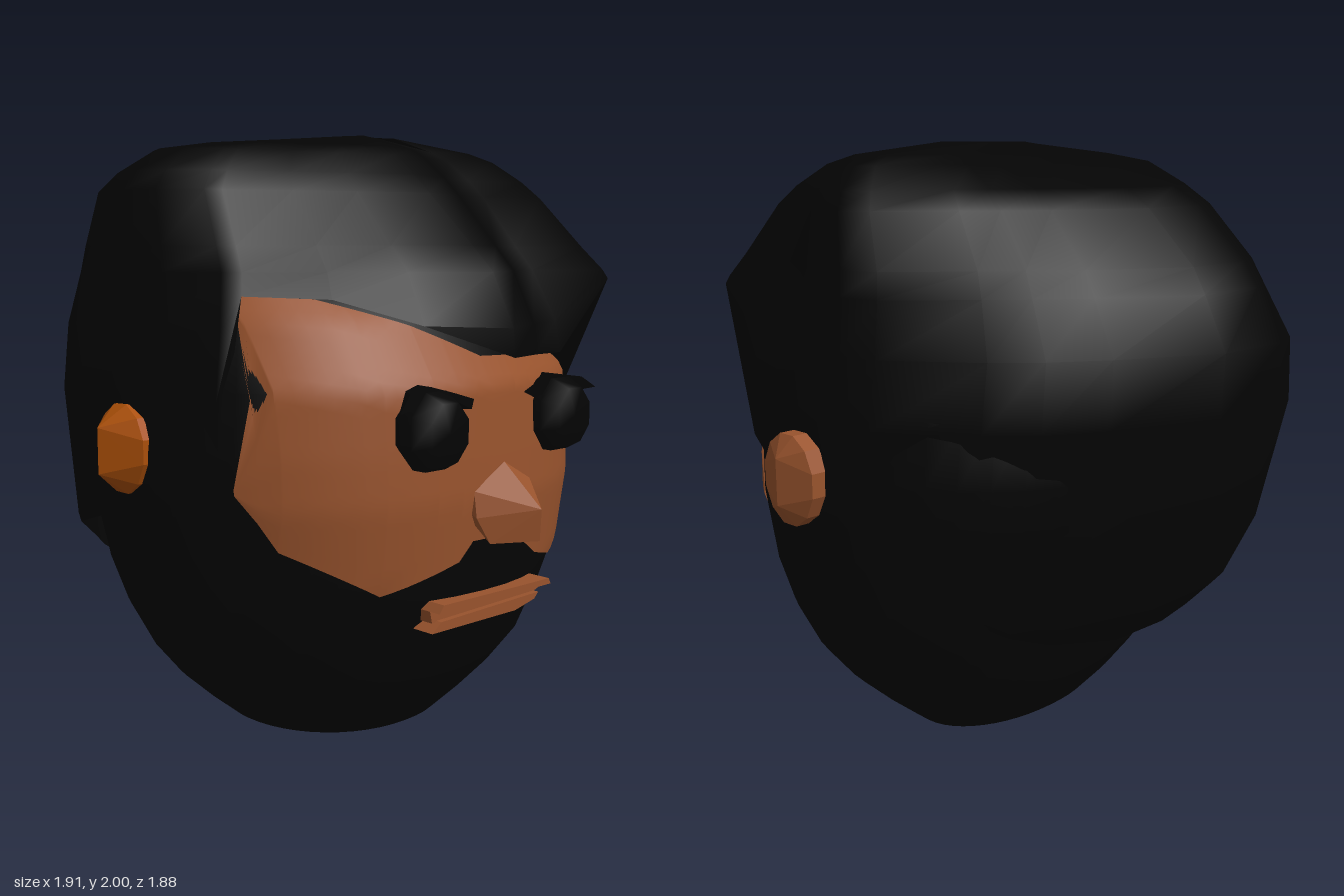
import * as THREE from 'three';
import { ConvexGeometry } from 'three/addons/geometries/ConvexGeometry.js';

const material = (name, color, extra = {}) => {
  const m = new THREE.MeshStandardMaterial({ color, ...extra });
  m.name = name;
  return m;
};

// Linear lookup in rows of [key, value, value...]
function lookup(table, key) {
  if (key <= table[0][0]) return table[0].slice(1);
  for (let i = 1; i < table.length; i++) {
    const a = table[i - 1], b = table[i];
    if (key <= b[0]) {
      const t = (key - a[0]) / (b[0] - a[0]);
      return a.slice(1).map((v, k) => v + (b[k + 1] - v) * t);
    }
  }
  return table[table.length - 1].slice(1);
}

// Surface through rows of points, rows rising, points running left to right
function grid(rows, closed) {
  const n = rows[0].length, index = [];
  for (let j = 0; j < rows.length - 1; j++) {
    for (let i = 0; i < (closed ? n : n - 1); i++) {
      const k = (i + 1) % n;
      const a = j * n + i, b = j * n + k, c = a + n, d = b + n;
      index.push(a, b, d, a, d, c);
    }
  }
  const g = new THREE.BufferGeometry();
  g.setAttribute('position', new THREE.Float32BufferAttribute(rows.flat(2), 3));
  g.setIndex(index);
  g.computeVertexNormals();
  return g;
}

// Row collapsed to its middle, to close a loft
const collapse = (row) => {
  const c = [0, 1, 2].map((k) => row.reduce((s, p) => s + p[k], 0) / row.length);
  return row.map(() => c);
};

// Head: height, half width, front depth, back depth; slightly squared ovals
const HEAD = [
  [0, 0.39, 0.39, 0.23], [0.09, 0.5, 0.48, 0.31], [0.19, 0.61, 0.57, 0.38],
  [0.3, 0.7, 0.65, 0.45], [0.45, 0.78, 0.7, 0.53], [0.6, 0.825, 0.75, 0.62],
  [0.85, 0.865, 0.775, 0.72], [1, 0.865, 0.77, 0.75], [1.2, 0.84, 0.76, 0.75],
  [1.4, 0.775, 0.64, 0.66], [1.5, 0.73, 0.52, 0.55], [1.65, 0.42, 0.34, 0.34],
];
const SQUARE = 2.15;

function headGeometry() {
  const bend = (v) => Math.sign(v) * Math.abs(v) ** (2 / SQUARE);
  const rows = HEAD.map(([y, w, f, b]) => Array.from({ length: 48 }, (_, i) => {
    const a = (i / 48) * Math.PI * 2, c = bend(Math.cos(a));
    return [w * bend(Math.sin(a)), y, c * (c > 0 ? f : b)];
  }));
  return grid([collapse(rows[0]), ...rows, collapse(rows[rows.length - 1])], true);
}

// Face: upper hairline and lower beard line, as x and y
const HAIRLINE = [[-0.76, 0.92], [-0.67, 1.48], [-0.48, 1.47], [-0.25, 1.39], [-0.02, 1.29],
  [0.18, 1.285], [0.44, 1.27], [0.62, 1.21], [0.78, 0.88]];
const BEARDLINE = [[-0.76, 0.9], [-0.67, 0.73], [-0.41, 0.58], [-0.15, 0.66], [-0.1, 0.72],
  [0.09, 0.72], [0.25, 0.62], [0.41, 0.58], [0.6, 0.68], [0.78, 0.87]];

function faceGeometry() {
  const xs = [...HAIRLINE, ...BEARDLINE].map((p) => p[0]);
  for (let i = 1; i < 36; i++) xs.push(-0.76 + (1.54 * i) / 36);
  const columns = [...new Set(xs)].sort((a, b) => a - b);
  const rows = [];
  for (let j = 0; j <= 20; j++) {
    rows.push(columns.map((x) => {
      const [lo] = lookup(BEARDLINE, x), [hi] = lookup(HAIRLINE, x);
      const y = lo + ((hi - lo) * j) / 20;
      const [w, f] = lookup(HEAD, y);
      const depth = Math.max(0, 1 - Math.abs(x / w) ** SQUARE) ** (1 / SQUARE);
      return [x, y, f * depth + 0.012];
    }));
  }
  return grid(rows, false);
}

// Hair: plan outline with the height of the lower edge, as x, z, y
const OUTLINE = [
  [0, 0.85, 1.29], [0.25, 0.74, 1.28], [0.49, 0.66, 1.27], [0.75, 0.81, 1.52], [0.8, 0.4, 1.05],
  [0.86, 0.1, 0.85], [0.86, -0.1, 0.8], [0.84, -0.25, 0.72], [0.65, -0.53, 0.55],
  [0.52, -0.65, 0.47], [0.34, -0.76, 0.4], [0, -0.92, 0.34], [-0.3, -0.94, 0.34],
  [-0.43, -0.9, 0.4], [-0.66, -0.69, 0.56], [-0.76, -0.52, 0.63], [-0.88, -0.35, 0.72],
  [-0.89, -0.05, 0.8], [-0.85, 0.14, 0.85], [-0.79, 0.36, 0.95], [-0.74, 0.4, 1.48],
  [-0.52, 0.6, 1.47], [-0.26, 0.72, 1.39],
];
// Height, then outline scale toward -x, +x, front and back, then corner rounding
const HAIR = [
  [0.34, 0.82, 0.82, 1, 0.57, 0], [0.42, 0.88, 0.88, 1, 0.66, 0], [0.52, 0.92, 0.92, 1, 0.76, 0],
  [0.75, 0.97, 0.97, 1, 0.88, 0], [1.17, 0.99, 1, 1, 0.99, 0], [1.38, 0.97, 0.97, 0.98, 1, 0.015],
  [1.55, 0.95, 0.945, 0.88, 0.91, 0.05], [1.63, 0.945, 0.935, 0.78, 0.86, 0.06],
  [1.8, 0.935, 0.92, 0.56, 0.67, 0.07], [1.86, 0.88, 0.89, 0.48, 0.57, 0.08],
  [1.93, 0.79, 0.81, 0.38, 0.32, 0.1], [1.96, 0.57, 0.73, 0.33, 0.21, 0.14],
  [2, 0.06, 0.2, 0.2, 0.08, 0],
];

function hairGeometry() {
  const rows = HAIR.map(([level]) => OUTLINE.map(([x, z, edge]) => {
    const y = Math.max(level, edge);
    const [right, left, front, back, round] = lookup(HAIR, y);
    // The front right and back left corners are rounder
    const s = Math.sin(2 * Math.atan2(x, z));
    const r = 1 - round * s * s * (s < 0 ? 1.9 : 1);
    return [r * x * (x < 0 ? right : left), y, r * z * (z > 0 ? front : back)];
  }));
  return grid([...rows, collapse(rows[rows.length - 1])], true);
}

const plate = (points, depth) => new THREE.ExtrudeGeometry(
  new THREE.Shape(points.map(([x, y]) => new THREE.Vector2(x, y))),
  { depth, bevelEnabled: false });

// Eyebrow plate, shorter at the back than at the front
function browGeometry(points, middle) {
  const g = plate(points, 0.07), p = g.attributes.position;
  for (let i = 0; i < p.count; i++) {
    if (p.getZ(i) < 0.01) p.setX(i, middle + (p.getX(i) - middle) * 0.55);
  }
  g.computeVertexNormals();
  return g;
}

const hull = (points) => new ConvexGeometry(points.map((p) => new THREE.Vector3(...p)));

// Ear: oval rim from the head outward, rising to an upright ridge
function earGeometry(inner, rim, ridge, y, z, ry, rz) {
  const points = [[ridge, y + ry * 0.5, z], [ridge, y - ry * 0.5, z]];
  for (let i = 0; i < 12; i++) {
    const a = ((i + 0.5) / 12) * Math.PI * 2;
    for (const x of [inner, rim]) points.push([x, y + ry * Math.cos(a), z + rz * Math.sin(a)]);
  }
  return hull(points);
}

export function createModel() {
  const model = new THREE.Group();
  model.name = 'head';
  const black = material('hairBlack', 0x040404, { side: THREE.DoubleSide });
  const skin = material('skinBrown', 0x98532d, { side: THREE.DoubleSide });
  const skinFlat = material('skinBrown', 0x98532d, { flatShading: true });
  const orange = material('earOrange', 0xaa4f08, { flatShading: true });

  const add = (name, geometry, mat, x = 0, y = 0, z = 0) => {
    const mesh = new THREE.Mesh(geometry, mat);
    mesh.name = name;
    mesh.position.set(x, y, z);
    model.add(mesh);
  };

  add('headAndBeard', headGeometry(), black);
  add('face', faceGeometry(), skin);
  add('hair', hairGeometry(), black);

  // Eyes: tapered octagons facing forward
  for (const side of [-1, 1]) {
    const eye = new THREE.LatheGeometry(
      [[0.08, 0.69], [0.114, 0.74], [0.114, 0.79], [0.085, 0.85], [0, 0.85]]
        .map(([r, z]) => new THREE.Vector2(r, z)), 8);
    eye.rotateY(Math.PI / 8).rotateX(Math.PI / 2).scale(1, 1.12, 1);
    add(side < 0 ? 'rightEye' : 'leftEye', eye, black, side * 0.3, 1.087, 0);
  }

  // Eyebrows: curved plates with a pointed tail
  add('rightEyebrow', browGeometry([[-0.45, 1.15], [-0.38, 1.16], [-0.3, 1.16], [-0.2, 1.165],
    [-0.14, 1.14], [-0.13, 1.17], [-0.22, 1.195], [-0.32, 1.22], [-0.41, 1.205]], -0.29),
  black, 0, 0, 0.72);
  add('leftEyebrow', browGeometry([[0.12, 1.17], [0.17, 1.15], [0.25, 1.16], [0.37, 1.155],
    [0.5, 1.16], [0.42, 1.2], [0.27, 1.22], [0.2, 1.2]], 0.3), black, 0, 0, 0.715);

  // Nose: faceted wedge with a sharp ridge
  add('nose', hull([
    [0.02, 0.96, 0.79], [0.16, 0.89, 0.78], [0.17, 0.81, 0.8], [0.12, 0.72, 0.83],
    [-0.09, 0.72, 0.83], [-0.12, 0.8, 0.8], [-0.11, 0.88, 0.78],
    [0.02, 0.83, 0.94], [0.02, 0.73, 0.935], [0.15, 0.84, 0.7], [-0.11, 0.84, 0.7],
  ]), skinFlat);

  // Mouth: two protruding lips and a set back middle
  add('upperLip', plate([[-0.25, 0.515], [0.3, 0.51], [0.29, 0.53], [0.15, 0.532],
    [-0.23, 0.54]], 0.1), skinFlat, 0, 0, 0.67);
  add('mouthLine', plate([[-0.24, 0.475], [0.25, 0.48], [0.31, 0.5], [0.3, 0.515],
    [-0.25, 0.515]], 0.07), skinFlat, 0, 0, 0.66);
  add('lowerLip', plate([[-0.26, 0.45], [0.14, 0.445], [0.24, 0.465], [0.26, 0.485],
    [-0.22, 0.48]], 0.08), skinFlat, 0, 0, 0.67);

  // Ears: thick on the left, flatter and pointed on the right
  add('leftEar', earGeometry(0.8, 0.91, 0.955, 0.98, 0.06, 0.15, 0.125), skinFlat);
  add('rightEar', earGeometry(-0.8, -0.875, -0.96, 1.005, -0.005, 0.145, 0.125), orange);

  return model;
}
